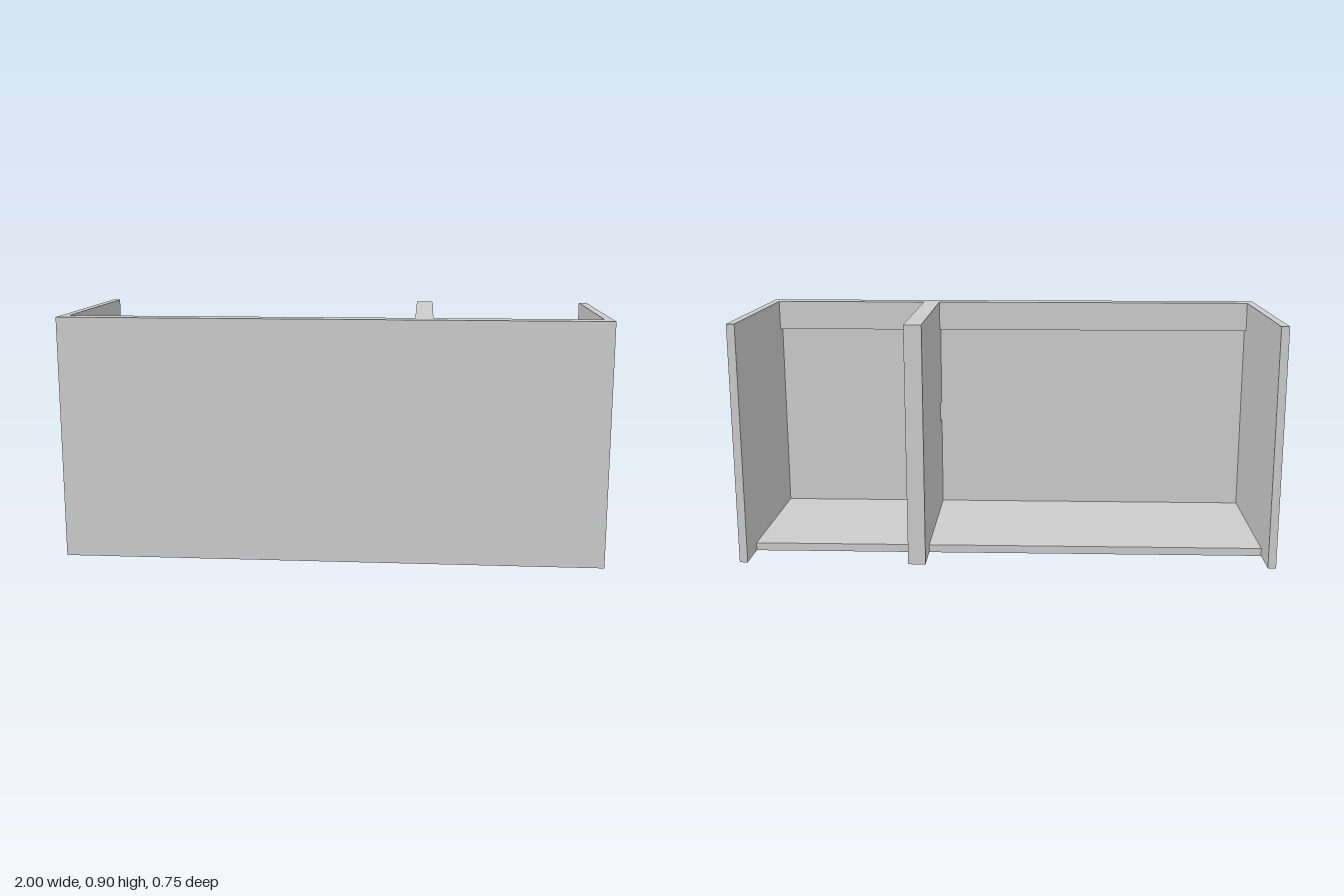
import * as THREE from 'three';

const H = 0.9, T = 0.03;          // height and board thickness
const BACK = -0.375, FRONT = 0.375, INNER = FRONT - T;
const RAIL_Z = 0.305, RAIL_Y = 0.785;

export function createModel() {
  const group = new THREE.Group();
  const material = new THREE.MeshStandardMaterial({ color: 0xcccccc, flatShading: true });

  const add = (name, geometry) => {
    const mesh = new THREE.Mesh(geometry, material);
    mesh.name = name;
    group.add(mesh);
  };
  // Board given by its limits on each axis
  const board = (name, [x0, x1], [y0, y1], [z0, z1]) => {
    const g = new THREE.BoxGeometry(x1 - x0, y1 - y0, z1 - z0);
    add(name, g.translate((x0 + x1) / 2, (y0 + y1) / 2, (z0 + z1) / 2));
  };

  board('frontPanel', [-1, 1], [0, H], [INNER, FRONT]);
  board('rightSide', [-1, -1 + T], [0, H], [BACK, INNER]);
  board('leftSide', [1 - T, 1], [0, H], [BACK, INNER]);

  // Floor and top rail of the wide and the narrow bay
  const bays = { wide: [-1 + T, 0.3], narrow: [0.365, 1 - T] };
  for (const [bay, xs] of Object.entries(bays)) {
    board(bay + 'BayFloor', xs, [0, T], [-0.24, INNER]);
    board(bay + 'BayTopRail', xs, [RAIL_Y, H], [RAIL_Z, INNER]);
  }

  // Partition with a small notch at its front edge, drawn as (z, y)
  const profile = new THREE.Shape([
    [BACK, 0], [INNER, 0], [INNER, 0.39], [RAIL_Z, 0.39],
    [RAIL_Z, 0.47], [INNER, 0.47], [INNER, H], [BACK, H],
  ].map(([z, y]) => new THREE.Vector2(z, y)));
  const partition = new THREE.ExtrudeGeometry(profile, { depth: 0.065, bevelEnabled: false });
  add('partition', partition.rotateY(-Math.PI / 2).translate(0.365, 0, 0));

  return group;
}
